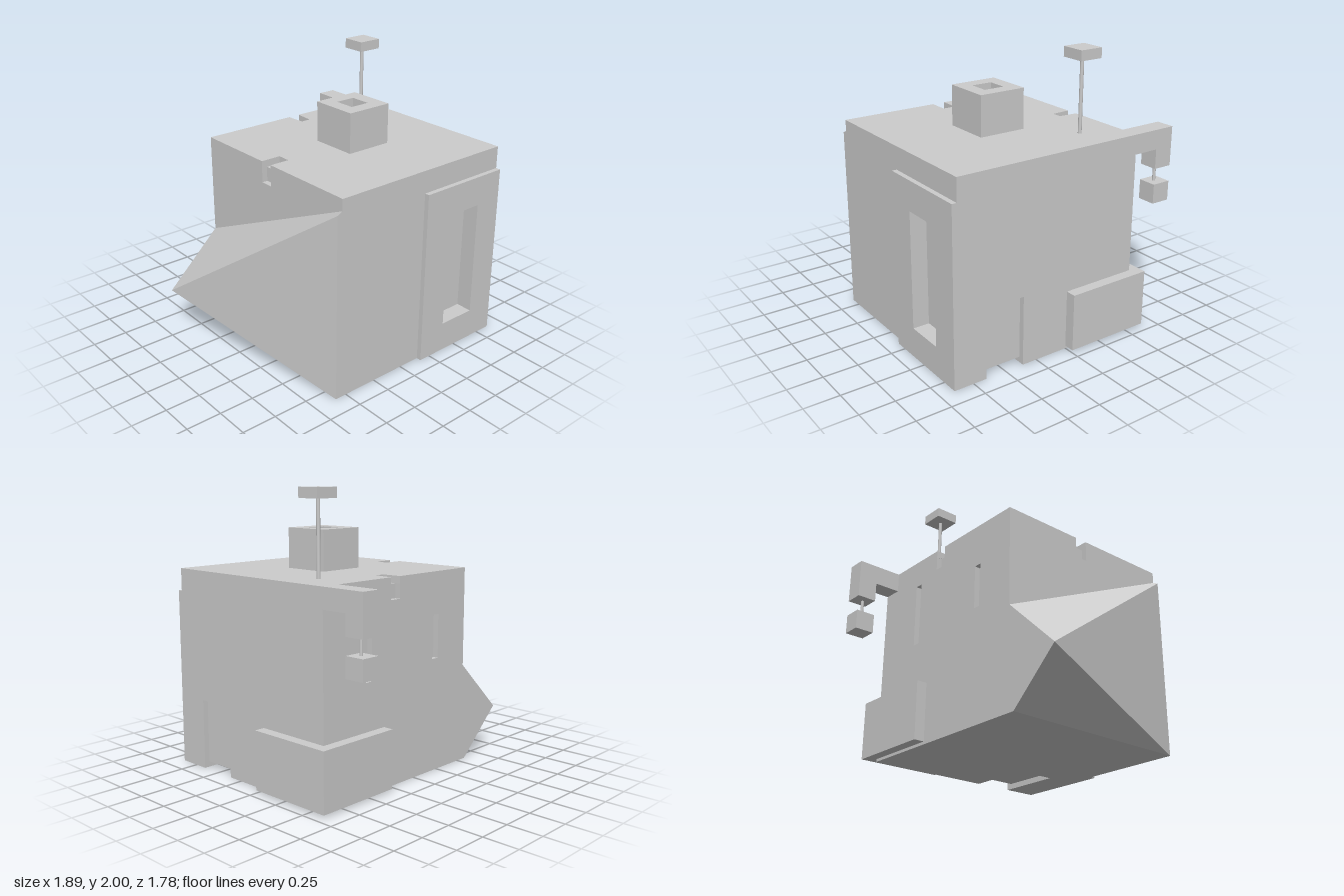
import * as THREE from 'three';
import { ConvexGeometry } from 'three/addons/geometries/ConvexGeometry.js';

const material = new THREE.MeshStandardMaterial({ color: 0xcccccc });

const toPoints = (pairs) => pairs.map(([a, b]) => new THREE.Vector2(a, b));
const rect = (a0, a1, b0, b1) => [[a0, b0], [a1, b0], [a1, b1], [a0, b1]];

export function createModel() {
  const group = new THREE.Group();

  const add = (name, geometry) => {
    const mesh = new THREE.Mesh(geometry, material);
    mesh.name = name;
    group.add(mesh);
    return mesh;
  };

  // Box given by its limits on each axis
  const box = (name, [x0, x1], [y0, y1], [z0, z1]) =>
    add(name, new THREE.BoxGeometry(x1 - x0, y1 - y0, z1 - z0)
      .translate((x0 + x1) / 2, (y0 + y1) / 2, (z0 + z1) / 2));

  // Flat plate with optional holes, drawn in the plane across the given axis
  const plate = (name, axis, from, to, outline, holes = []) => {
    const shape = new THREE.Shape(toPoints(outline));
    holes.forEach((h) => shape.holes.push(new THREE.Path(toPoints(h))));
    const geometry = new THREE.ExtrudeGeometry(shape, { depth: to - from, bevelEnabled: false });
    if (axis === 'x') geometry.rotateY(-Math.PI / 2).translate(to, 0, 0); // outline in z, y
    if (axis === 'y') geometry.rotateX(Math.PI / 2).translate(0, to, 0); // outline in x, z
    if (axis === 'z') geometry.translate(0, 0, from); // outline in x, y
    return add(name, geometry);
  };

  const L = -0.545, R = 0.87, B = -0.56, F = 0.86, TOP = 1.42;
  const ROOF = 1.37; // underside of the roof slab
  const NOTCH = 1.27; // foot of the drain notches
  const IN = 0.04; // wall thickness

  // Solid core behind the walls
  box('core', [L + IN, R - IN], [IN, ROOF], [B + IN, 0.775]);

  // Front wall and raised panel share one window opening
  const frontWindow = rect(0.375, 0.66, 0.215, 1.05);
  plate('frontWall', 'z', 0.775, F, rect(L, R, 0, TOP), [frontWindow]);
  plate('frontPanel', 'z', F, 0.895, rect(0.165, R, 0, 1.26), [frontWindow]);

  // Back wall with two slits and a drain notch
  plate('backWall', 'z', B, B + IN,
    [[L, 0], [R, 0], [R, ROOF], [0.25, ROOF], [0.25, NOTCH], [0.16, NOTCH], [0.16, ROOF], [L, ROOF]],
    [rect(0.43, 0.487, 0.76, 1.22), rect(-0.25, -0.19, 0.81, 1.12)]);

  // Side wall with a drain notch
  plate('notchedSideWall', 'x', L, L + IN,
    [[B, 0], [F, 0], [F, ROOF], [0.145, ROOF], [0.145, NOTCH], [0.05, NOTCH], [0.05, ROOF], [B, ROOF]]);

  // Side wall with a doorway
  plate('doorSideWall', 'x', R - IN, R,
    [[B, 0], [0.36, 0], [0.36, 0.5], [0.65, 0.5], [0.65, 0], [F, 0], [F, ROOF], [B, ROOF]]);

  // Roof with shallow drain channels, floor with the door slot
  plate('roof', 'y', ROOF, TOP,
    [[L, B], [0.16, B], [0.168, -0.42], [0.24, -0.42], [0.25, B], [R, B], [R, F], [L, F],
      [L, 0.145], [-0.4, 0.145], [-0.4, 0.05], [L, 0.05]]);
  plate('floor', 'y', 0, IN,
    [[L, B], [R, B], [R, 0.36], [0.39, 0.36], [0.39, 0.65], [R, 0.65], [R, F], [L, F]]);

  // Faceted buttress leaning against the side
  add('buttress', new ConvexGeometry([
    [L, 0, F], [-0.585, 0, F], [-0.585, 1.32, F], [L, 1.34, F],
    [L, 0, B], [-0.585, 0, B], [-0.945, 0.33, B], [L, 0.71, B],
  ].map((p) => new THREE.Vector3(...p))));

  // Low block wrapped around the back corner
  box('cornerBlock', [0.31, 0.945], [0.02, 0.43], [-0.635, 0]);

  // Chimney with a sunken flue
  plate('chimney', 'y', TOP, 1.705, rect(-0.01, 0.335, -0.025, 0.32), [rect(0.09, 0.235, 0.07, 0.22)]);
  box('chimneyFlueFloor', [0.08, 0.245], [TOP, 1.61], [0.06, 0.23]);

  // Mast with a square cap
  add('mast', new THREE.CylinderGeometry(0.013, 0.013, 0.53, 16)).position.set(0.625, 1.675, -0.275);
  box('mastCap', [0.54, 0.715], [1.93, 2], [-0.36, -0.19]);

  // Hoist arm overhanging the back, with a hanging weight
  plate('hoistArm', 'x', 0.735, R,
    [[-0.89, 1.14], [-0.75, 1.14], [-0.75, 1.28], [B, 1.28], [B, TOP], [-0.89, TOP]]);
  add('hoistCable', new THREE.CylinderGeometry(0.011, 0.011, 0.14, 16)).position.set(0.803, 1.08, -0.813);
  box('hoistWeight', [0.735, R], [0.885, 1.025], [-0.89, -0.75]);

  return group;
}
